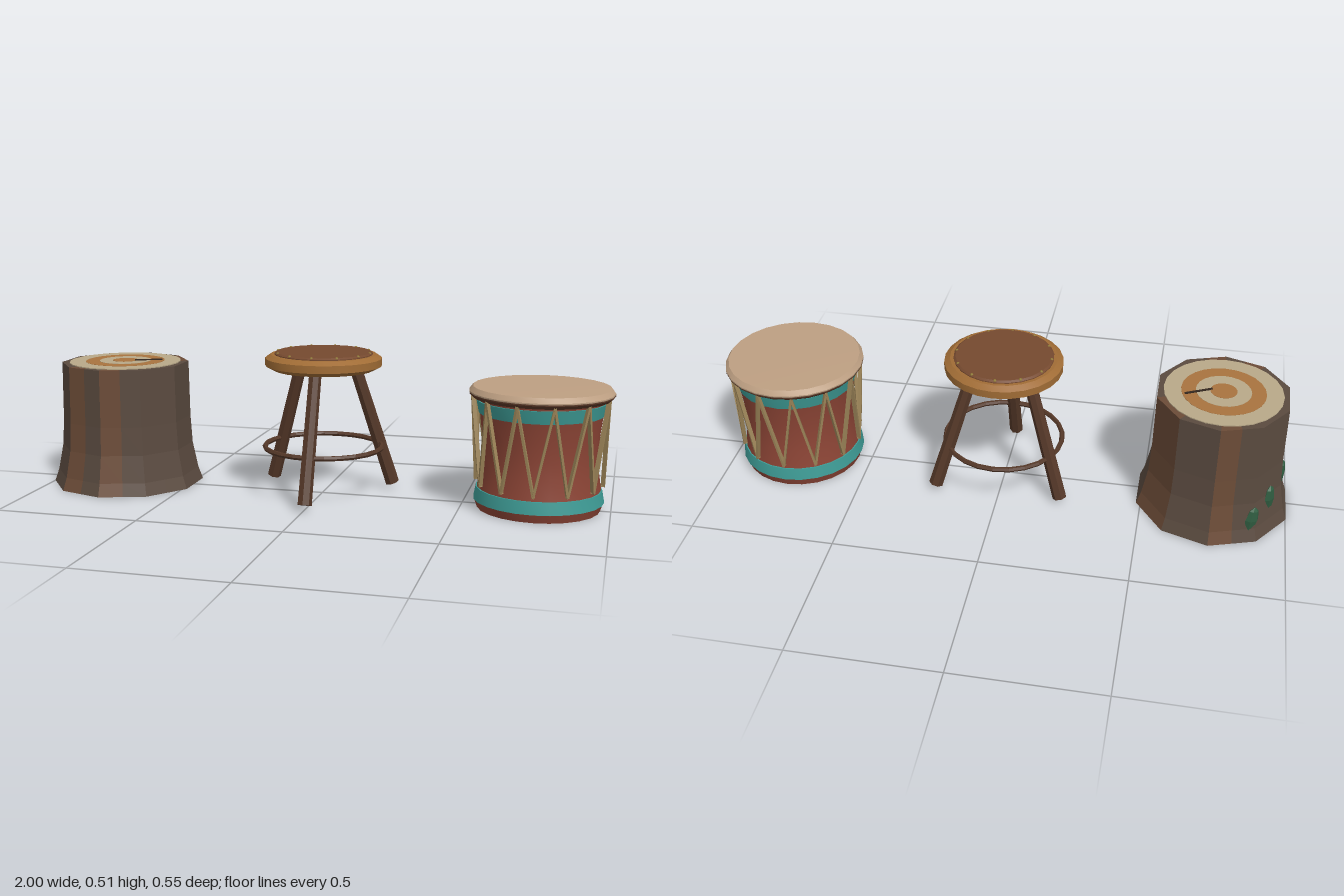
import * as THREE from 'three';
import { toCreasedNormals } from 'three/addons/utils/BufferGeometryUtils.js';

const mat = (color, flatShading = false) => new THREE.MeshStandardMaterial({ color, flatShading });
const bark = mat(0x5a4a3f, true), warmBark = mat(0x6b4b37, true), darkBark = mat(0x33271f);
const cream = mat(0xb8a888), ringWood = mat(0xa8733f);
const seatWood = mat(0xa06c35), leather = mat(0x75492f), legWood = mat(0x553828, true), brass = mat(0x8f7a35);
const red = mat(0x8b4435), teal = mat(0x3d9a94), hide = mat(0xbd9f82), hoopWood = mat(0x5a3827), cord = mat(0x9c8458);
const leafGreen = mat(0x2f5c40, true);

const polar = (r, a, y) => new THREE.Vector3(r * Math.sin(a), y, r * Math.cos(a));
const points = (list) => list.map(([r, y]) => new THREE.Vector2(r, y));

function add(parent, name, geometry, material) {
  const mesh = new THREE.Mesh(geometry, material);
  mesh.name = name;
  parent.add(mesh);
  return mesh;
}

// Round part from a [radius, height] profile, with sharp edges kept
function turned(parent, name, profile, material, sides = 24) {
  const geometry = new THREE.LatheGeometry(points(profile), sides);
  return add(parent, name, toCreasedNormals(geometry, 0.45), material);
}

// Straight round bar from a to b
function bar(parent, name, a, b, ra, rb, sides, material) {
  const mesh = add(parent, name, new THREE.CylinderGeometry(rb, ra, a.distanceTo(b), sides), material);
  mesh.position.copy(a).lerp(b, 0.5);
  mesh.quaternion.setFromUnitVectors(new THREE.Vector3(0, 1, 0), b.clone().sub(a).normalize());
  return mesh;
}

function createStump() {
  const stump = new THREE.Group();
  stump.name = 'treeStump';

  // Ten flat sides in half strips, so some strips can be warmer
  const profile = points([[0, 0], [0.272, 0], [0.256, 0.045], [0.237, 0.14], [0.231, 0.24], [0.228, 0.442], [0, 0.443]]);
  const step = Math.PI / 10;
  const warm = [0, 6, 7, 10, 18];
  for (let k = 0; k < 20; k++) {
    const geometry = new THREE.LatheGeometry(profile.slice(1), 1, k * step, step);
    const pos = geometry.attributes.position;
    const rows = profile.length - 1;
    for (let i = 0; i < pos.count; i++) {
      if ((k + Math.floor(i / rows)) % 2) {
        pos.setX(i, pos.getX(i) * Math.cos(step));
        pos.setZ(i, pos.getZ(i) * Math.cos(step));
      }
    }
    add(stump, 'barkStrip', geometry, warm.includes(k) ? warmBark : bark);
  }
  const base = add(stump, 'stumpBase', new THREE.CircleGeometry(0.272, 10, Math.PI / 2), darkBark);
  base.rotation.x = Math.PI / 2;

  // Growth rings
  [0.2, 0.142, 0.093, 0.045].forEach((r, i) => {
    const y = 0.4455 + i * 0.0008;
    turned(stump, 'growthRing', [[r, 0.44], [r, y], [0, y]], i % 2 ? ringWood : cream);
  });

  // Crack in the cut face
  const crack = add(stump, 'crack', new THREE.BoxGeometry(0.1, 0.004, 0.007), darkBark);
  crack.position.set(0.083, 0.449, -0.018);
  crack.rotation.y = 0.46;

  // Leaves climbing the back
  [[-0.137, 0.075, -0.2], [-0.188, 0.12, -0.127], [-0.222, 0.17, -0.035]].forEach(([x, y, z], i) => {
    const leaf = add(stump, 'leaf', new THREE.SphereGeometry(1, 6, 4), leafGreen);
    leaf.scale.set(0.026, 0.052, 0.014);
    leaf.position.set(x, y, z);
    leaf.rotation.set(0, Math.atan2(x, z), 0.15 * (i - 1), 'YXZ');
  });
  return stump;
}

function createStool() {
  const stool = new THREE.Group();
  stool.name = 'stool';
  turned(stool, 'seat', [[0, 0.444], [0.176, 0.444], [0.204, 0.459], [0.204, 0.485], [0.184, 0.498], [0, 0.498]], seatWood);
  turned(stool, 'leatherPad', [[0.172, 0.496], [0.172, 0.501], [0.165, 0.506], [0, 0.507]], leather);

  // Brass studs around the pad
  for (let i = 0; i < 12; i++) {
    const stud = add(stool, 'stud', new THREE.SphereGeometry(0.006, 8, 6), brass);
    stud.position.copy(polar(0.164, i * Math.PI / 6, 0.503));
  }
  // Splayed legs and the hoop that ties them
  for (let i = 0; i < 3; i++) {
    const a = i * Math.PI * 2 / 3;
    bar(stool, 'leg', polar(0.257, a, 0.02), polar(0.11, a, 0.46), 0.025, 0.022, 7, legWood);
  }
  const hoop = add(stool, 'footRing', new THREE.TorusGeometry(0.207, 0.009, 6, 24), legWood);
  hoop.rotation.x = Math.PI / 2;
  hoop.position.y = 0.17;
  return stool;
}

function createDrum() {
  const drum = new THREE.Group();
  drum.name = 'drum';
  turned(drum, 'drumShell', [[0, 0], [0.208, 0], [0.217, 0.028], [0.208, 0.072], [0.197, 0.14], [0.194, 0.2],
    [0.197, 0.26], [0.205, 0.327], [0.214, 0.372], [0.216, 0.386]], red);
  turned(drum, 'lowerBand', [[0.215, 0.028], [0.22, 0.029], [0.212, 0.071], [0.204, 0.072]], teal);
  turned(drum, 'upperBand', [[0.2, 0.326], [0.209, 0.327], [0.218, 0.371], [0.21, 0.372]], teal);
  turned(drum, 'rimHoop', [[0.2, 0.38], [0.23, 0.38], [0.242, 0.392], [0.242, 0.396]], hoopWood);
  turned(drum, 'drumSkin', [[0.238, 0.391], [0.242, 0.397], [0.242, 0.401], [0.23, 0.417], [0, 0.421]], hide);

  // Zigzag cords, thin sideways and deeper outwards
  const step = Math.PI / 12;
  for (let k = 0; k < 24; k++) {
    const [low, high] = k % 2 ? [k + 1, k] : [k, k + 1];
    const a = polar(0.213, low * step, 0.087), b = polar(0.229, high * step, 0.382);
    const up = b.clone().sub(a).normalize();
    const out = polar(1, (k + 0.5) * step, 0);
    const side = up.clone().cross(out).normalize();
    const rope = add(drum, 'cord', new THREE.BoxGeometry(0.008, a.distanceTo(b) + 0.006, 0.014), cord);
    rope.quaternion.setFromRotationMatrix(new THREE.Matrix4().makeBasis(side, up, side.clone().cross(up)));
    rope.position.copy(a).lerp(b, 0.5);
  }
  return drum;
}

export function createModel() {
  const model = new THREE.Group();
  model.name = 'campSeatsAndDrum';
  const parts = [[createStump(), -0.743], [createStool(), 0.003], [createDrum(), 0.757]];
  for (const [part, x] of parts) {
    part.position.set(x, 0, -0.007);
    model.add(part);
  }
  return model;
}
